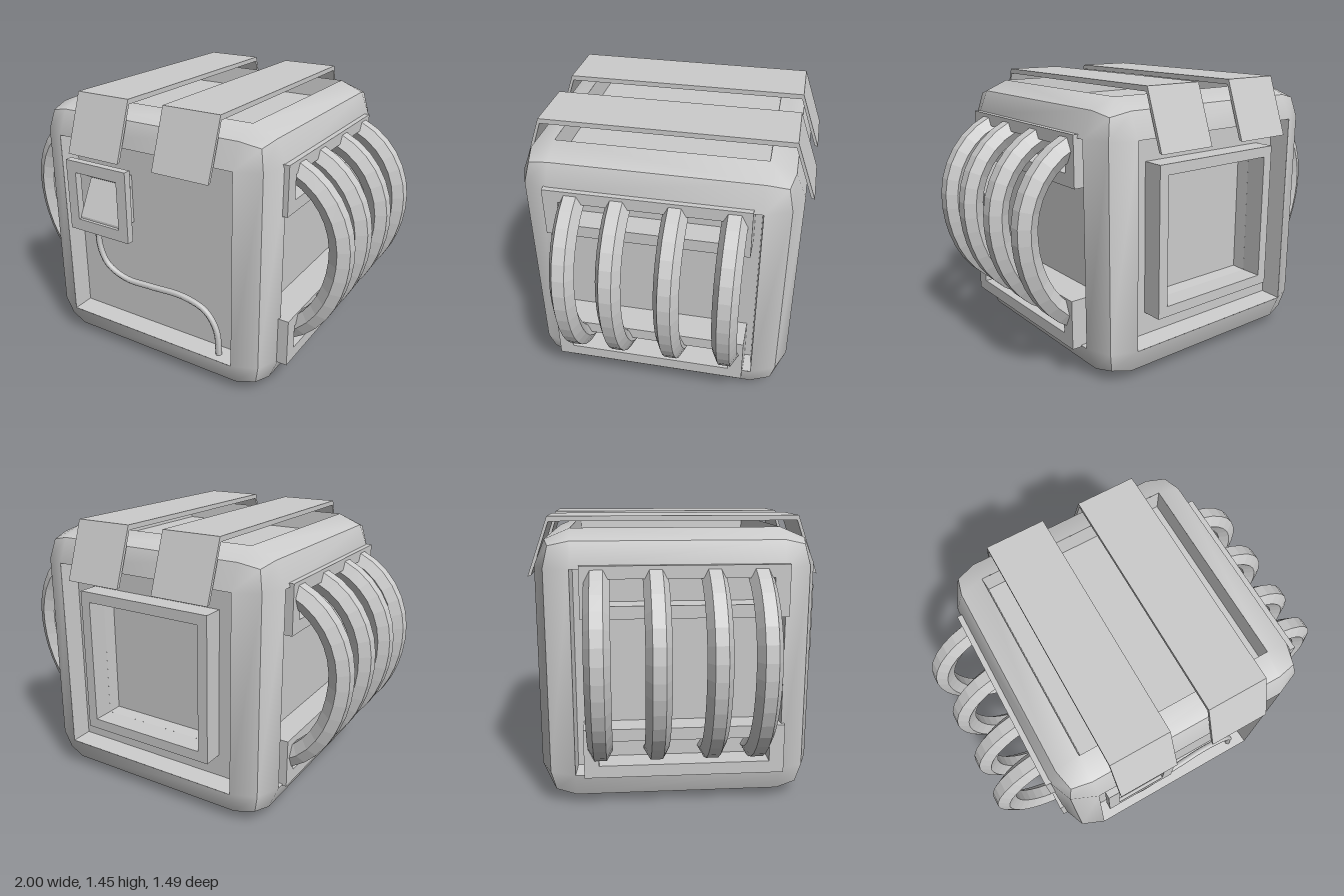
import * as THREE from 'three';
import { mergeGeometries } from 'three/addons/utils/BufferGeometryUtils.js';

const HALF = 0.7, FLAT = 0.52, ROUND = HALF - FLAT, RECESS = 0.11, MID = 0.7;
const BASE = HALF - RECESS;
const POCKET = 0.67, POCKET_DEPTH = 0.18;
const grey = new THREE.MeshStandardMaterial({ color: 0xcccccc });
const greyFlat = new THREE.MeshStandardMaterial({ color: 0xcccccc, flatShading: true });

function addMesh(parent, name, geometry, material = grey) {
  const mesh = new THREE.Mesh(geometry, material);
  mesh.name = name;
  parent.add(mesh);
  return mesh;
}

function rectangle(Type, w, h) {
  return new Type([[-w, -h], [w, -h], [w, h], [-w, h]].map(([x, y]) => new THREE.Vector2(x / 2, y / 2)));
}

function frameShape(w, h, rimX, rimY) {
  const shape = rectangle(THREE.Shape, w, h);
  shape.holes.push(rectangle(THREE.Path, w - 2 * rimX, h - 2 * rimY));
  return shape;
}

// Rectangular frame facing +z, its back at z = 0
function frameGeometry(w, h, rimX, rimY, depth) {
  return new THREE.ExtrudeGeometry(frameShape(w, h, rimX, rimY), { depth, bevelEnabled: false });
}

// Rounded border of one cube face, without its centre cell
function borderGeometry() {
  const pos = [], index = [];
  const steps = [[-FLAT, -1], [-FLAT, 0], [FLAT, 0], [FLAT, 1]];
  for (const [y, ny] of steps) {
    for (const [x, nx] of steps) {
      const n = new THREE.Vector3(nx, ny, 1).normalize();
      pos.push(x + n.x * ROUND, y + n.y * ROUND, FLAT + n.z * ROUND);
    }
  }
  for (let j = 0; j < 3; j++) {
    for (let i = 0; i < 3; i++) {
      if (i === 1 && j === 1) continue;
      const a = j * 4 + i;
      index.push(a, a + 1, a + 5, a, a + 5, a + 4);
    }
  }
  const g = new THREE.BufferGeometry();
  g.setAttribute('position', new THREE.Float32BufferAttribute(pos, 3));
  g.setIndex(index);
  g.computeVertexNormals();
  return g;
}

// Four walls, leaning slightly inwards, around a square recess
function wallGeometries(half, front, depth) {
  return [0, 1, 2, 3].map((k) => new THREE.PlaneGeometry(2 * half, depth)
    .rotateX(-Math.PI / 2 + 0.09)
    .translate(0, 0.045 * depth - half, front - depth / 2)
    .rotateZ(k * Math.PI / 2));
}

// One cube face: rounded border, recess walls and floor, optionally with a deeper pocket
function faceGeometry(hasPocket) {
  const parts = [borderGeometry(), ...wallGeometries(FLAT, HALF, RECESS)];
  if (hasPocket) {
    const rim = FLAT - POCKET / 2;
    parts.push(new THREE.ShapeGeometry(frameShape(2 * FLAT, 2 * FLAT, rim, rim)).translate(0, 0, BASE));
    parts.push(...wallGeometries(POCKET / 2, BASE, POCKET_DEPTH - RECESS));
    parts.push(new THREE.PlaneGeometry(POCKET, POCKET).translate(0, 0, HALF - POCKET_DEPTH));
  } else {
    parts.push(new THREE.PlaneGeometry(2 * FLAT, 2 * FLAT).translate(0, 0, BASE));
  }
  parts.forEach((g) => g.deleteAttribute('uv'));
  return mergeGeometries(parts);
}

function addBody(group) {
  const faces = [];
  for (let k = 0; k < 4; k++) faces.push(faceGeometry(k === 2).rotateY(k * Math.PI / 2));
  for (const s of [-1, 1]) faces.push(faceGeometry(false).rotateX(s * Math.PI / 2));
  addMesh(group, 'body', mergeGeometries(faces)).position.y = MID;
}

// Bent straps over the top
function addStraps(group) {
  const side = [[0.64, 1.452], [0.747, 1.15], [0.728, 1.157], [0.633, 1.426]];
  const outline = [...side, ...side.map(([z, y]) => [-z, y]).reverse()];
  const shape = new THREE.Shape(outline.map(([z, y]) => new THREE.Vector2(z, y)));
  const geometry = new THREE.ExtrudeGeometry(shape, { depth: 0.32, bevelEnabled: false })
    .rotateY(-Math.PI / 2);
  for (const x of [-0.105, 0.422]) addMesh(group, 'strap', geometry).position.x = x;
}

// Slotted mounting bars and curved six-sided pipes on both sides
function addPipes(group) {
  const arc = [];
  for (let i = 0; i <= 12; i++) {
    const a = Math.PI * (i / 12 - 0.5);
    const reach = a < 0 ? 0.51 : 0.415;
    arc.push(new THREE.Vector3(0.55 + 0.395 * Math.cos(a), 0.785 + reach * Math.sin(a), 0));
  }
  const pipe = new THREE.TubeGeometry(new THREE.CatmullRomCurve3(arc), 18, 0.062, 6);
  for (const s of [-1, 1]) {
    for (const [name, y, reach] of [['upperBar', 1.11, 0.72], ['lowerBar', 0.3, s > 0 ? 0.75 : 0.72]]) {
      const bar = addMesh(group, name, frameGeometry(1.01, 0.255, 0.075, 0.063, reach - BASE));
      bar.rotation.y = s * Math.PI / 2;
      bar.position.set(s * BASE, y, 0.03);
    }
    for (const z of [0.395, 0.168, -0.112, -0.392]) {
      const mesh = addMesh(group, 'sidePipe', pipe, greyFlat);
      if (s < 0) mesh.rotation.y = Math.PI;
      mesh.position.z = z;
    }
  }
}

// Small front box with a sloped inside, and the cable below it
function addFrontBox(group) {
  const box = new THREE.Group();
  box.name = 'frontBox';
  box.position.set(-0.284, 0.905, BASE);
  group.add(box);
  addMesh(box, 'boxFrame', frameGeometry(0.39, 0.39, 0.06, 0.063, 0.04)).position.z = 0.087;
  // Ramp rising to the back, and a roof falling to meet it
  const wedges = [
    ['boxRamp', [[0, -0.132], [0.11, -0.132], [0.11, -0.12], [0.01, 0.075], [0, 0.075]]],
    ['boxRoof', [[0, 0.07], [0.01, 0.07], [0.12, 0.132], [0, 0.132]]],
  ];
  for (const [name, points] of wedges) {
    const shape = new THREE.Shape(points.map(([z, y]) => new THREE.Vector2(z, y)));
    const g = new THREE.ExtrudeGeometry(shape, { depth: 0.27, bevelEnabled: false })
      .rotateY(-Math.PI / 2).translate(0.135, 0, 0);
    addMesh(box, name, g);
  }
  const path = new THREE.CatmullRomCurve3([
    [-0.315, 0.74, 0.685], [-0.315, 0.64, 0.685], [-0.27, 0.53, 0.68], [-0.16, 0.468, 0.67],
    [0, 0.46, 0.66], [0.2, 0.458, 0.65], [0.34, 0.415, 0.65], [0.405, 0.32, 0.65], [0.42, 0.185, 0.65],
  ].map((p) => new THREE.Vector3(...p)));
  addMesh(group, 'cable', new THREE.TubeGeometry(path, 40, 0.017, 6));
}

export function createModel() {
  const group = new THREE.Group();
  group.name = 'cubeDevice';
  addBody(group);
  addStraps(group);
  addPipes(group);
  addFrontBox(group);
  // Raised frame around the back pocket
  const back = addMesh(group, 'backFrame', frameGeometry(0.78, 0.78, 0.055, 0.055, RECESS));
  back.rotation.y = Math.PI;
  back.position.set(0, MID, -BASE);
  return group;
}
